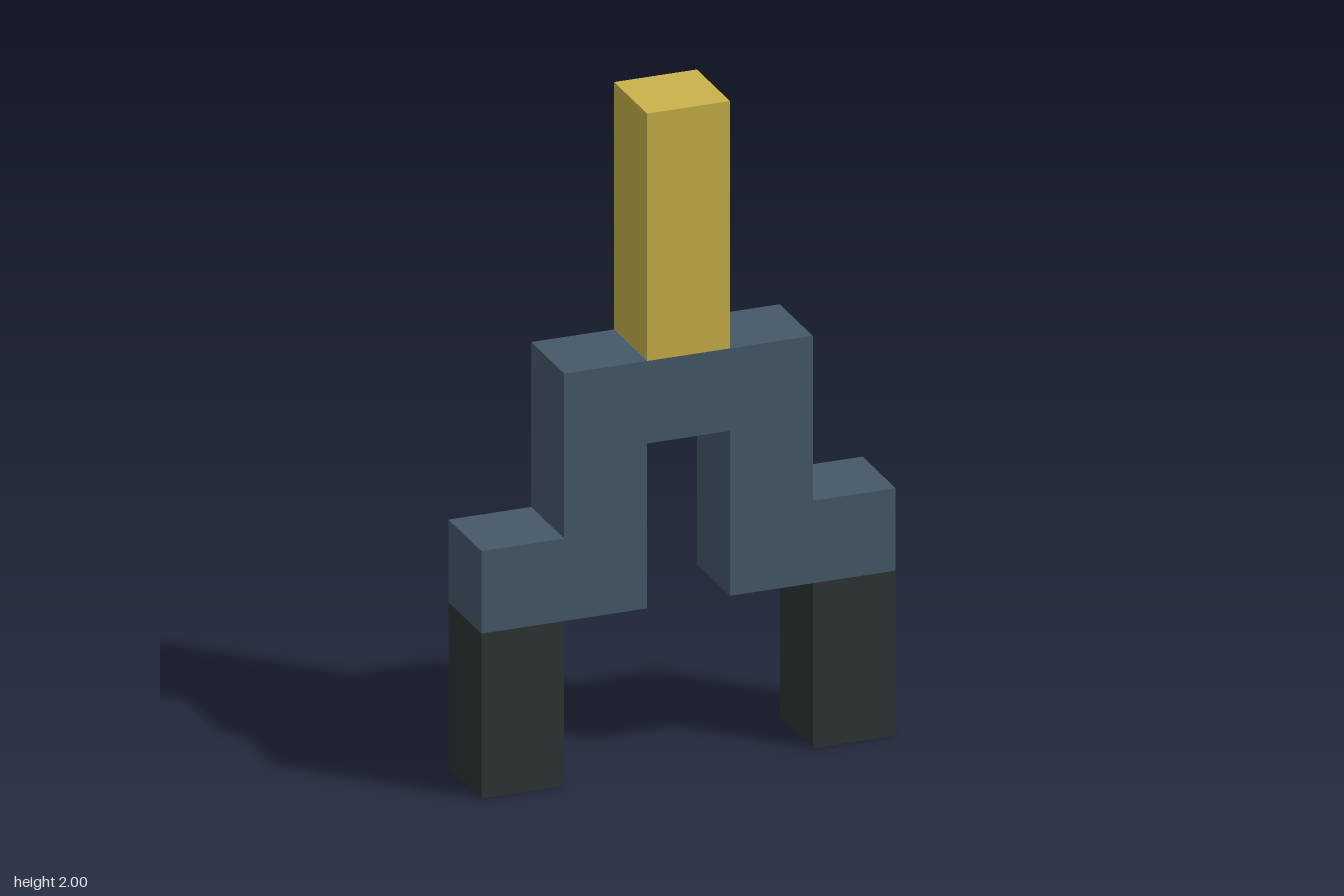
import * as THREE from 'three';

const U = 0.25; // square section shared by every part

export function createModel() {
  const model = new THREE.Group();
  model.name = 'steppedArch';

  const makeMaterial = (name, color) => {
    const material = new THREE.MeshStandardMaterial({ color });
    material.name = name;
    return material;
  };
  const gold = makeMaterial('gold', 0xc9b24a);
  const slate = makeMaterial('slateBlue', 0x46596a);
  const charcoal = makeMaterial('charcoal', 0x2d3634);

  const add = (name, geometry, material, x, y, z) => {
    const mesh = new THREE.Mesh(geometry, material);
    mesh.name = name;
    mesh.position.set(x, y, z);
    model.add(mesh);
  };

  // Stepped arch: right half of the outline, mirrored to the left
  const half = [[0.5, 4], [0.5, 2], [2.5, 2], [2.5, 3], [1.5, 3], [1.5, 5]];
  const outline = [
    ...half,
    ...half.map(([x, y]) => [-x, y]).reverse(),
  ].map(([x, y]) => new THREE.Vector2(x * U, y * U));
  const arch = new THREE.ExtrudeGeometry(new THREE.Shape(outline), { depth: U, bevelEnabled: false });
  add('archFrame', arch, slate, 0, 0, -U / 2);

  // Upright post on the arch
  add('post', new THREE.BoxGeometry(U, 3 * U, U), gold, 0, 6.5 * U, 0);

  // Feet under the outer steps
  const foot = new THREE.BoxGeometry(U, 2 * U, U);
  for (const side of [-1, 1]) {
    add(side > 0 ? 'leftFoot' : 'rightFoot', foot, charcoal, side * 2 * U, U, 0);
  }

  return model;
}
